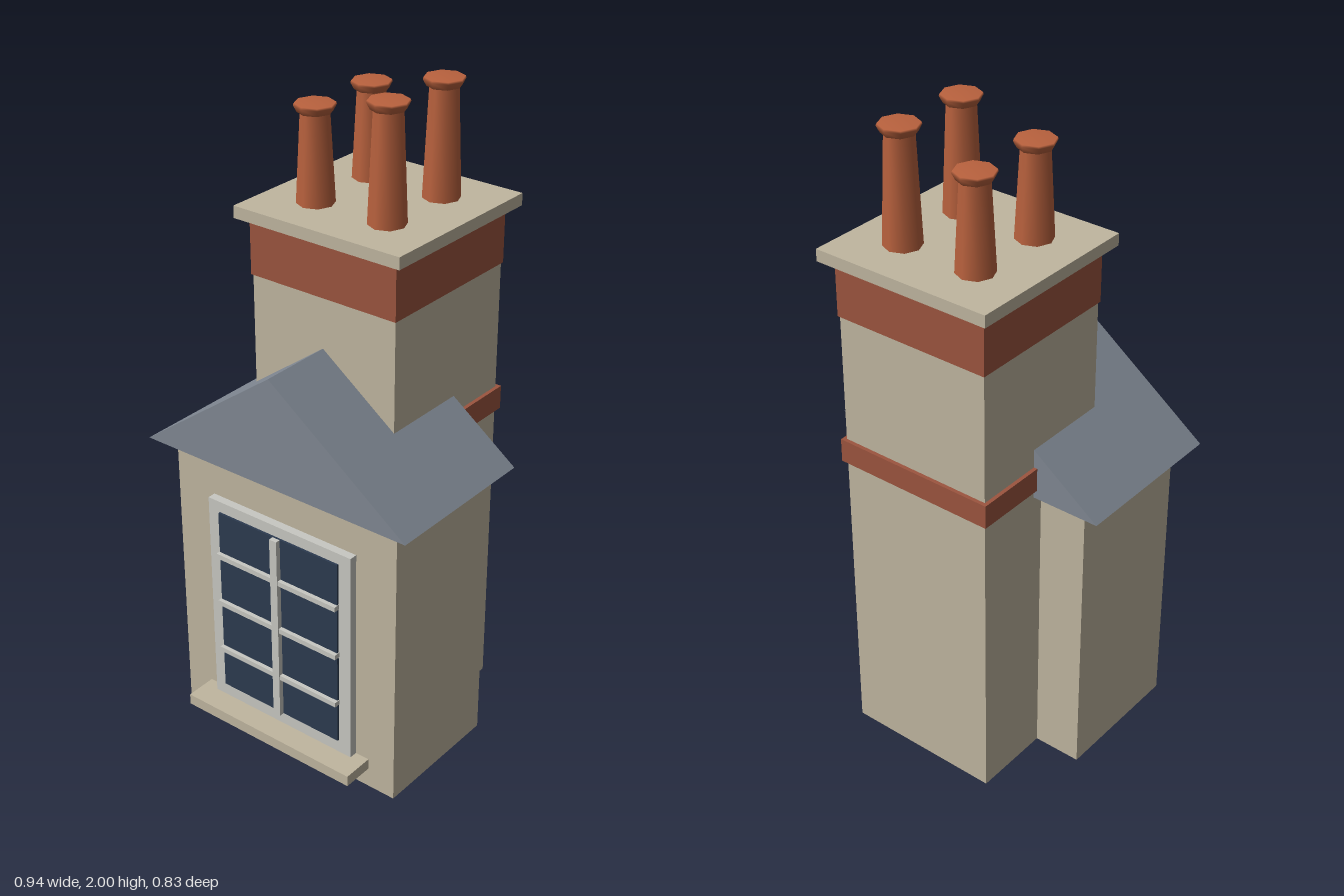
import * as THREE from 'three';

const material = (name, color) => {
  const m = new THREE.MeshStandardMaterial({ color });
  m.name = name;
  return m;
};

export function createModel() {
  const model = new THREE.Group();
  model.name = 'dormerAndChimney';

  const stone = material('stone', 0xc0b6a0);
  const brick = material('brick', 0x9c553f);
  const slate = material('slate', 0x808893);
  const clay = material('clay', 0xba623e);
  const paint = material('windowPaint', 0xc8c8c2);
  const glass = material('glass', 0x2c3b50);

  const add = (name, geometry, mat) => {
    const mesh = new THREE.Mesh(geometry, mat);
    mesh.name = name;
    model.add(mesh);
    return mesh;
  };
  // Box centred on x, given half width, y range and z range
  const box = (name, mat, halfX, y0, y1, z0, z1) => {
    const mesh = add(name, new THREE.BoxGeometry(halfX * 2, y1 - y0, z1 - z0), mat);
    mesh.position.set(0, (y0 + y1) / 2, (z0 + z1) / 2);
    return mesh;
  };

  // Dormer walls and gabled roof
  box('dormerWalls', stone, 0.405, 0, 0.945, -0.122, 0.312);
  const gable = new THREE.Shape([
    new THREE.Vector2(-0.47, 0.94),
    new THREE.Vector2(0.47, 0.94),
    new THREE.Vector2(0, 1.285),
  ]);
  add('gableRoof', new THREE.ExtrudeGeometry(gable, { depth: 0.52, bevelEnabled: false }), slate)
    .position.z = -0.157;

  // Chimney stack with brick courses and capping slab
  box('chimneyStack', stone, 0.252, 0, 1.45, -0.374, 0.127);
  box('lowerBrickBand', brick, 0.264, 0.968, 1.042, -0.386, 0.139);
  box('upperBrickBand', brick, 0.256, 1.443, 1.615, -0.379, 0.132);
  box('cappingSlab', stone, 0.288, 1.615, 1.652, -0.414, 0.162);

  // Window: frame, glass, glazing bars, sill
  box('windowFrame', paint, 0.265, 0.1, 0.8, 0.31, 0.338);
  box('windowGlass', glass, 0.222, 0.145, 0.765, 0.338, 0.345);
  box('verticalGlazingBar', paint, 0.013, 0.145, 0.765, 0.338, 0.361);
  for (const y of [0.285, 0.455, 0.622]) {
    box('horizontalGlazingBar', paint, 0.224, y - 0.008, y + 0.008, 0.338, 0.358);
  }
  box('windowSill', stone, 0.312, 0.065, 0.1, 0.31, 0.412);

  // Eight-sided flared chimney pots, the left pair taller
  const potProfile = (height) => [
    [0.056, 0],
    [0.042, height - 0.027],
    [0.05, height - 0.025],
    [0.06, height - 0.006],
    [0.058, height],
    [0, height],
  ].map(([r, y]) => new THREE.Vector2(r, y));
  for (const [x, height] of [[-0.125, 0.288], [0.125, 0.348]]) {
    for (const z of [0, -0.25]) {
      add('chimneyPot', new THREE.LatheGeometry(potProfile(height), 8), clay)
        .position.set(x, 1.652, z);
    }
  }

  return model;
}
